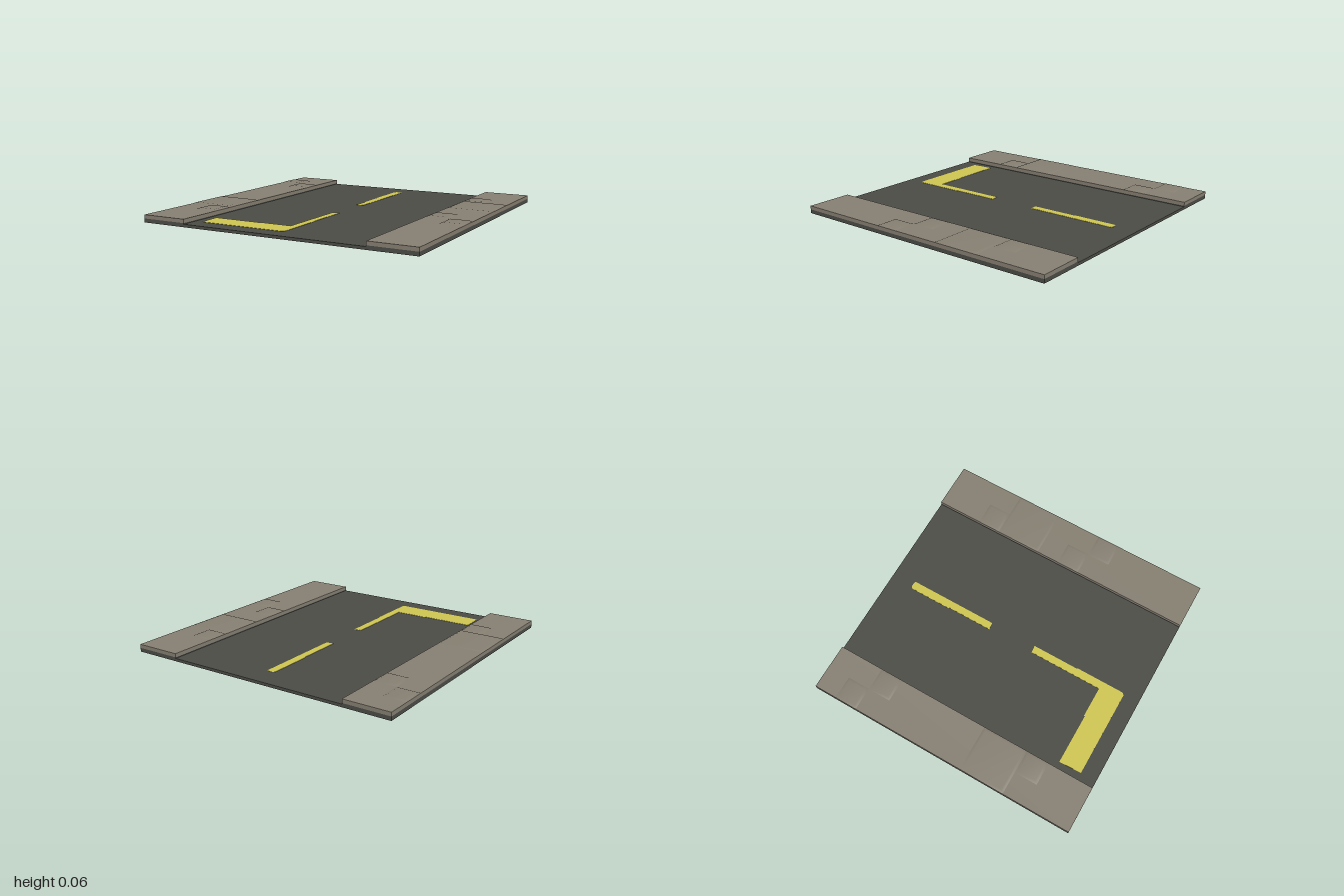
import * as THREE from 'three';

const asphalt = new THREE.MeshStandardMaterial({ name: 'asphalt', color: 0x4b4b46 });
const paving = new THREE.MeshStandardMaterial({ name: 'paving', color: 0x857e71 });
const paint = new THREE.MeshStandardMaterial({ name: 'yellowPaint', color: 0xcdc44f });

const ROAD_TOP = 0.02, KERB_BASE = 0.027, WALK_TOP = 0.053, SLAB_TOP = 0.061;
const EDGE = 2 / 3, TILE = 1 / 6;

function box(name, material, x0, x1, y0, y1) {
  const mesh = new THREE.Mesh(new THREE.BoxGeometry(x1 - x0, y1 - y0, 2), material);
  mesh.position.set((x0 + x1) / 2, (y0 + y1) / 2, 0);
  mesh.name = name;
  return mesh;
}

// Flat road marking from [x, z] outline points
function marking(name, outline) {
  const shape = new THREE.Shape(outline.map(([x, z]) => new THREE.Vector2(x, z)));
  const geometry = new THREE.ExtrudeGeometry(shape, { depth: 0.002, bevelEnabled: false });
  geometry.rotateX(Math.PI / 2);
  geometry.translate(0, ROAD_TOP + 0.002, 0);
  const mesh = new THREE.Mesh(geometry, paint);
  mesh.name = name;
  return mesh;
}

// Raised slab: sloping sides, shared corners so the shading is soft
function slab(x, z, size) {
  const inset = 0.02;
  const ring = (d, y) => [
    x + d, y, z + d, x + d, y, z + size - d,
    x + size - d, y, z + size - d, x + size - d, y, z + d,
  ];
  const index = [4, 5, 6, 4, 6, 7];
  for (let i = 0; i < 4; i++) {
    const j = (i + 1) % 4;
    index.push(i, j, j + 4, i, j + 4, i + 4);
  }
  const geometry = new THREE.BufferGeometry();
  geometry.setAttribute('position',
    new THREE.Float32BufferAttribute([...ring(0, WALK_TOP), ...ring(inset, SLAB_TOP)], 3));
  geometry.setIndex(index);
  geometry.computeVertexNormals();
  const mesh = new THREE.Mesh(geometry, paving);
  mesh.name = 'raisedSlab';
  return mesh;
}

export function createModel() {
  const model = new THREE.Group();
  model.name = 'roadTile';

  model.add(box('road', asphalt, -EDGE, EDGE, 0, ROAD_TOP));

  // Pavements on both sides, each on a dark base
  for (const [side, x0, x1] of [['right', -1, -EDGE], ['left', EDGE, 1]]) {
    model.add(box(side + 'KerbBase', asphalt, x0, x1, 0, KERB_BASE));
    model.add(box(side + 'Pavement', paving, x0, x1, KERB_BASE, WALK_TOP));
  }

  // Slabs as [x, z, size] in tile units
  const slabs = [
    [-6, -5, 1], [-5, -4, 1], [-6, 1, 2], [-5, 3, 1],
    [4, -4, 1], [4, -3, 2], [4, 0, 1], [5, 1, 1],
  ];
  for (const [x, z, size] of slabs) model.add(slab(x * TILE, z * TILE, size * TILE));

  // Centre dash, then a centre line joined to the stop bar
  model.add(marking('centreDash', [
    [-0.033, -0.82], [-0.018, -0.835], [0.025, -0.83], [0.025, -0.18],
    [-0.027, -0.173], [-0.027, -0.5], [-0.033, -0.51],
  ]));
  model.add(marking('stopLine', [
    [-0.027, 0.175], [0.025, 0.17], [0.025, 0.51], [0.03, 0.52], [0.03, 0.87],
    [0.015, 0.885], [-0.61, 0.885], [-0.617, 0.722], [-0.25, 0.722], [-0.25, 0.715], [-0.027, 0.715],
  ]));

  return model;
}
